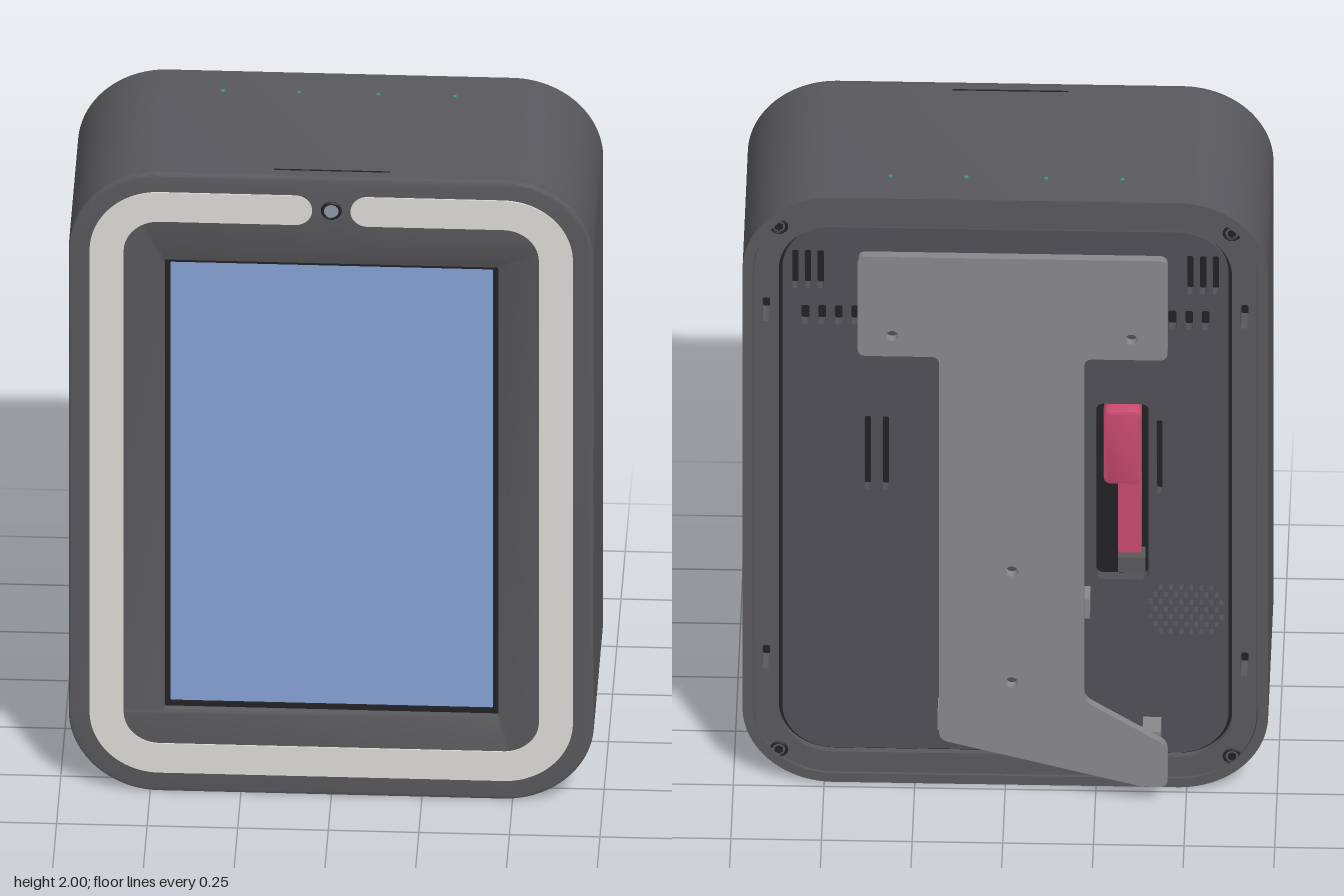
import * as THREE from 'three';
import { toCreasedNormals } from 'three/addons/utils/BufferGeometryUtils.js';

const PI = Math.PI;
const mat = (color) => new THREE.MeshStandardMaterial({ color });

// Rounded rectangle outline
function roundRect(x0, x1, y0, y1, r, Kind = THREE.Shape) {
  const s = new Kind();
  s.moveTo(x0 + r, y0);
  s.absarc(x1 - r, y0 + r, r, -PI / 2, 0, false);
  s.absarc(x1 - r, y1 - r, r, 0, PI / 2, false);
  s.absarc(x0 + r, y1 - r, r, PI / 2, PI, false);
  s.absarc(x0 + r, y0 + r, r, PI, PI * 1.5, false);
  s.closePath();
  return s;
}
const hole = (...a) => roundRect(...a, THREE.Path);
const slot = (x, y, w, h) => hole(x - w / 2, x + w / 2, y - h / 2, y + h / 2, Math.min(w, h) * 0.3);
const disc = (x, y, r) => new THREE.Path().absarc(x, y, r, 0, PI * 2, false);

// Case outline, inset from the outer wall
const W = 0.725, R = 0.25;
const outline = (d, Kind) => roundRect(-W + d, W - d, d, 2 - d, R - d, Kind);

// Polygon with softened corners
function softPoly(points, r) {
  const p = points.map(([x, y]) => new THREE.Vector2(x, y));
  const s = new THREE.Shape();
  p.forEach((c, i) => {
    const prev = p[(i + p.length - 1) % p.length], next = p[(i + 1) % p.length];
    const a = c.clone().add(prev.clone().sub(c).setLength(r));
    const b = c.clone().add(next.clone().sub(c).setLength(r));
    if (i === 0) s.moveTo(a.x, a.y); else s.lineTo(a.x, a.y);
    s.quadraticCurveTo(c.x, c.y, b.x, b.y);
  });
  s.closePath();
  return s;
}

export function createModel() {
  const group = new THREE.Group();
  const dark = mat(0x59585c), panelGrey = mat(0x515055), black = mat(0x222224);
  const steel = mat(0x88888a), white = mat(0xdcdbd6), blue = mat(0x86a2d6);
  const pink = mat(0xc84a70), teal = mat(0x2f9a8c);

  const add = (name, geo, material, x = 0, y = 0, z = 0) => {
    const m = new THREE.Mesh(geo, material);
    m.name = name;
    m.position.set(x, y, z);
    group.add(m);
    return m;
  };
  const box = (name, x0, x1, y0, y1, z0, z1, material) =>
    add(name, new THREE.BoxGeometry(x1 - x0, y1 - y0, z1 - z0), material,
      (x0 + x1) / 2, (y0 + y1) / 2, (z0 + z1) / 2);
  const extrude = (name, shape, z0, z1, material, bevel = 0) => {
    const geo = new THREE.ExtrudeGeometry(shape, {
      depth: z1 - z0 - 2 * bevel, curveSegments: 14, bevelEnabled: bevel > 0,
      bevelSize: bevel, bevelThickness: bevel, bevelOffset: -bevel, bevelSegments: 2,
    });
    return add(name, toCreasedNormals(geo, 0.5), material, 0, 0, z0 + bevel);
  };

  // Case: outer shell, inner core and front face with the screen opening
  const shell = outline(0);
  shell.holes.push(outline(0.03, THREE.Path));
  extrude('shell', shell, -0.23, 0.3, dark);
  extrude('core', outline(0.03), -0.15, 0.27, panelGrey);
  const face = outline(0);
  face.holes.push(hole(-0.46, 0.46, 0.27, 1.72, 0.005));
  extrude('frontFace', face, 0.284, 0.32, dark, 0.008);

  // Screen and its dark border
  const border = roundRect(-0.463, 0.463, 0.267, 1.723, 0.005);
  border.holes.push(hole(-0.445, 0.445, 0.285, 1.708, 0.003));
  extrude('screenBorder', border, 0.268, 0.305, black);
  box('screen', -0.447, 0.447, 0.283, 1.71, 0.268, 0.298, blue);

  // Light band, open at the top around the camera
  const band = new THREE.Shape();
  const corners = [[0.475, 1.75], [0.475, 0.255], [-0.475, 0.255], [-0.475, 1.75]];
  band.moveTo(0.1, 1.942);
  corners.forEach(([x, y], i) => band.absarc(x, y, 0.192, PI / 2 - i * PI / 2, -i * PI / 2, true));
  band.absarc(-0.1, 1.895, 0.047, PI / 2, -PI / 2, true);
  [...corners].reverse().forEach(([x, y], i) =>
    band.absarc(x, y, 0.098, PI / 2 + i * PI / 2, PI + i * PI / 2, false));
  band.absarc(0.1, 1.895, 0.047, -PI / 2, -PI * 1.5, true);
  extrude('lightBand', band, 0.3, 0.324, white);

  // Camera
  add('cameraRing', new THREE.TorusGeometry(0.024, 0.005, 8, 28), black, 0, 1.895, 0.32);
  add('cameraLens', new THREE.CylinderGeometry(0.022, 0.022, 0.008, 24).rotateX(PI / 2), mat(0x8e98a8), 0, 1.895, 0.319);

  // Back frame with clip slots
  const frame = outline(0.032);
  frame.holes.push(outline(0.1, THREE.Path));
  for (const s of [-1, 1]) for (const y of [0.42, 1.61]) frame.holes.push(slot(s * 0.66, y, 0.022, 0.08));
  extrude('backFrame', frame, -0.224, -0.15, dark);
  const seam = outline(0.1);
  seam.holes.push(outline(0.112, THREE.Path));
  extrude('backSeam', seam, -0.205, -0.15, black);

  // Back panel with vents, speaker grille and plug pocket
  const panel = outline(0.11);
  const cut = (h) => panel.holes.push(h);
  for (let i = -12; i <= 12; i++) cut(slot(i * 0.046, 1.59, 0.022, 0.065));
  for (const s of [-1, 1]) for (let i = 0; i < 3; i++) cut(slot(s * (0.51 + i * 0.035), 1.745, 0.018, 0.13));
  for (const x of [0.33, 0.38]) cut(slot(x, 1.12, 0.018, 0.25));
  cut(slot(-0.425, 1.12, 0.016, 0.25));
  cut(hole(-0.395, -0.25, 0.7, 1.3, 0.02));
  for (let r = 0; r < 7; r++) {
    const n = r % 6 === 0 ? 6 : 8 - (r % 2);
    for (let c = 0; c < n; c++) cut(disc(-0.5 + (c - (n - 1) / 2) * 0.028, 0.6 + (r - 3) * 0.025, 0.009));
  }
  extrude('backPanel', panel, -0.217, -0.185, panelGrey);
  extrude('ventBacking', outline(0.033), -0.152, -0.149, black);

  // Corner screws
  for (const x of [-0.625, 0.625]) for (const y of [0.105, 1.895]) {
    add('screwRing', new THREE.TorusGeometry(0.022, 0.004, 6, 20), black, x, y, -0.224);
    add('screw', new THREE.CylinderGeometry(0.013, 0.013, 0.006, 6).rotateX(PI / 2), black, x, y, -0.224);
  }

  // Plug in the pocket
  extrude('plugHead', roundRect(-0.375, -0.27, 1.03, 1.28, 0.02), -0.226, -0.15, pink, 0.008);
  extrude('plugBody', roundRect(-0.375, -0.31, 0.79, 1.04, 0.006), -0.215, -0.15, pink);
  box('plugSocket', -0.385, -0.31, 0.715, 0.765, -0.205, -0.15, dark);

  // Wall bracket: T-shaped plate with a slanted foot
  const top = softPoly([[-0.45, 1.53], [-0.22, 1.53], [-0.22, 0.36], [-0.45, 0.21], [-0.45, 0.07],
    [-0.38, 0.07], [0.18, 0.22], [0.18, 1.53], [0.405, 1.53], [0.405, 1.87], [-0.45, 1.87]], 0.025);
  for (const [x, y] of [[0.31, 1.6], [-0.35, 1.6], [-0.02, 0.8], [-0.02, 0.42]]) top.holes.push(disc(x, y, 0.017));
  extrude('bracketPlate', top, -0.325, -0.3, steel);

  // Bracket hanger bar (wedge section along x) and spacer tabs
  const wedge = new THREE.Shape([[0.215, 1.79], [0.215, 1.72], [0.23, 1.72], [0.301, 1.65], [0.301, 1.79]]
    .map(([x, y]) => new THREE.Vector2(x, y)));
  add('hangerBar', new THREE.ExtrudeGeometry(wedge, { depth: 0.81, bevelEnabled: false }).rotateY(PI / 2), steel, -0.43);
  box('footHook', -0.43, -0.38, 0.12, 0.24, -0.301, -0.23, steel);
  box('upperTab', -0.235, -0.2, 0.625, 0.69, -0.301, -0.238, steel);
  box('lowerTab', 0.16, 0.185, 0.235, 0.3, -0.301, -0.238, steel);

  // Top: microphone dots and a thin slit
  for (const x of [-0.32, -0.11, 0.11, 0.32])
    add('microphone', new THREE.CylinderGeometry(0.006, 0.006, 0.004, 10), teal, x, 2, -0.125);
  box('topSlit', -0.16, 0.16, 1.996, 2.001, 0.278, 0.283, black);

  // Underside: slot vents, centre knob, screws and port
  for (const s of [-1, 1]) {
    for (let i = -4; i <= 4; i++) {
      const x = s * 0.29 + i * 0.028;
      box('bottomVent', x - 0.006, x + 0.006, -0.001, 0.004, -0.065, 0.085, black);
    }
    add('bottomScrew', new THREE.CylinderGeometry(0.018, 0.018, 0.005, 16), black, s * 0.125, 0.001, 0.01);
  }
  add('bottomKnob', new THREE.CylinderGeometry(0.065, 0.065, 0.005, 12), black, 0, 0.001, 0.01);
  add('bottomPort', new THREE.CylinderGeometry(0.024, 0.024, 0.005, 20), black, -0.38, 0.001, -0.13);

  return group;
}
